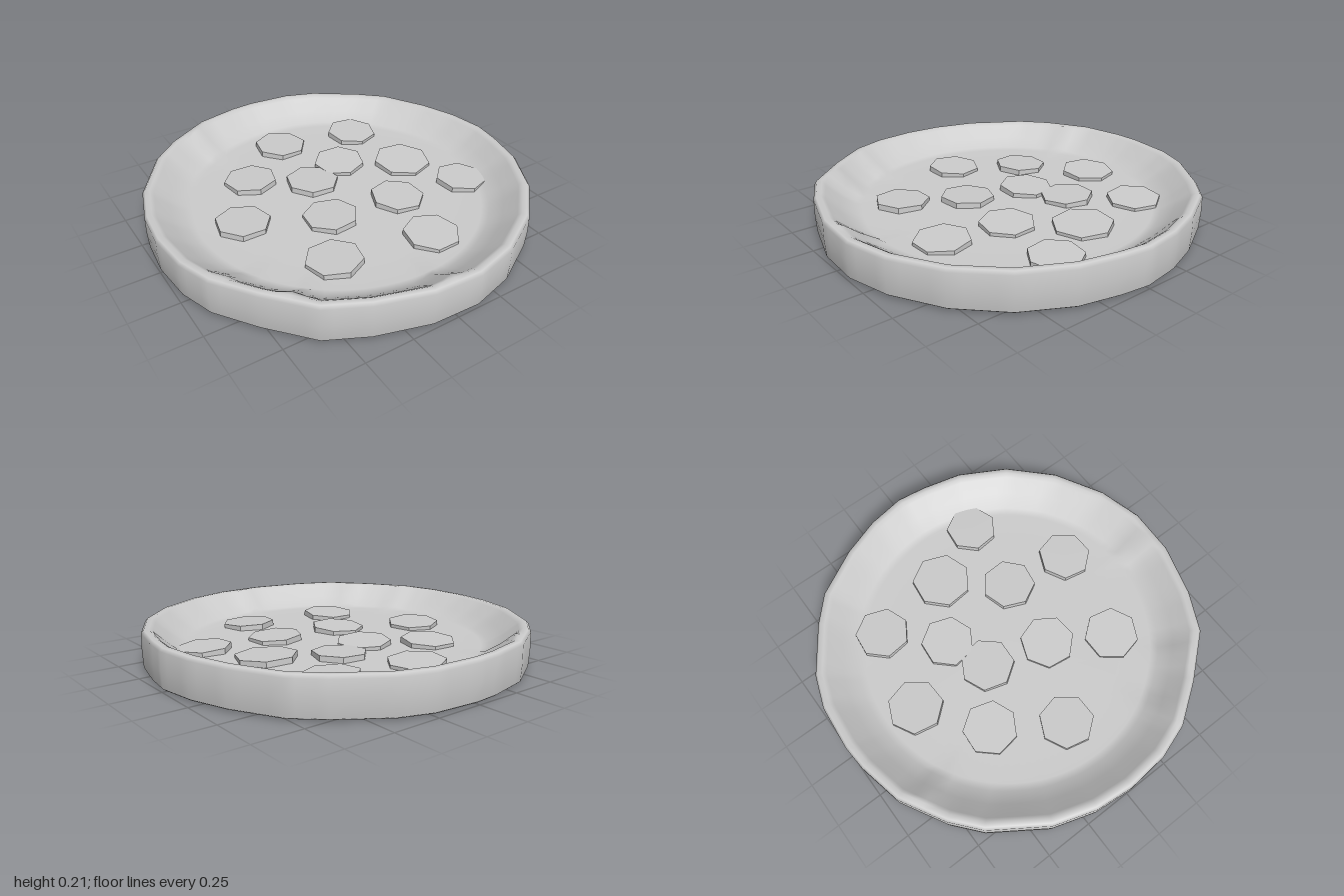
import * as THREE from 'three';

// Uneven hand-shaped outline of the crust, as x, z pairs
const OUTLINE = [
  [1, 0], [0.97, -0.2], [0.9, -0.4], [0.77, -0.64], [0.64, -0.76], [0.41, -0.92], [0.24, -0.98],
  [0, -1], [-0.13, -0.99], [-0.36, -0.94], [-0.59, -0.81], [-0.73, -0.69], [-0.91, -0.42],
  [-0.98, -0.2], [-1, 0], [-0.98, 0.22], [-0.92, 0.4], [-0.78, 0.6], [-0.6, 0.81], [-0.4, 0.91],
  [-0.13, 0.99], [0.12, 1], [0.35, 0.94], [0.6, 0.8], [0.8, 0.6], [0.93, 0.36], [0.98, 0.15],
];

// Cross-section from the underside centre, over the rim, to the floor centre:
// radius, height, how far the ring follows the outline (0 = true circle)
const PROFILE = [
  [0, 0, 0], [0.8, 0, 1], [0.95, 0.002, 1], [0.985, 0.007, 1], [0.995, 0.015, 1], [1, 0.1, 1],
  [0.998, 0.188, 1], [0.985, 0.203, 1], [0.96, 0.205, 1], [0.94, 0.192, 0.9], [0.87, 0.135, 0.6],
  [0.8, 0.091, 0.3], [0.76, 0.085, 0.1], [0.6, 0.084, 0], [0, 0.084, 0],
];

// Pinched folds on the inner slope, as angles from +x towards +z
const FOLDS = [2.7, 2.33, -2.05, 1.58];

// Toppings: x, z, radius, angle of one corner in degrees
const SLICES = [
  [-0.01, -0.6, 0.145, -92], [0.43, -0.51, 0.142, 96], [-0.33, -0.36, 0.142, 94],
  [0.18, -0.26, 0.14, 95], [-0.05, -0.17, 0.143, 68], [-0.54, -0.03, 0.142, -90],
  [0.49, -0.08, 0.157, 97], [-0.14, 0.16, 0.143, -95], [0.25, 0.2, 0.142, -80],
  [0.65, 0.24, 0.137, 97], [-0.31, 0.46, 0.143, 90], [0.2, 0.55, 0.142, -92],
];

function crustGeometry() {
  const steps = 4;
  const rim = [];
  OUTLINE.forEach(([x, z], i) => {
    const [nx, nz] = OUTLINE[(i + 1) % OUTLINE.length];
    for (let s = 0; s < steps; s++) {
      const t = s / steps;
      rim.push([x + (nx - x) * t, z + (nz - z) * t]);
    }
  });

  const n = rim.length;
  const last = PROFILE.length - 2;
  const positions = [];
  const index = [];
  PROFILE.forEach(([radius, height, follow], ring) => {
    rim.forEach(([x, z]) => {
      const angle = Math.atan2(z, x);
      const r = radius * (1 + (Math.hypot(x, z) - 1) * follow);
      const wave = height > 0.15 ? 0.004 * Math.sin(3 * angle + 1) : 0;
      let fold = 0;
      if (ring >= 9 && ring <= 11) {
        for (const f of FOLDS) fold += 0.018 * Math.exp(-(((angle - f) / 0.05) ** 2));
      }
      positions.push(r * Math.cos(angle), height + wave + fold, r * Math.sin(angle));
    });
  });
  for (let ring = 0; ring <= last; ring++) {
    for (let i = 0; i < n; i++) {
      const j = (i + 1) % n;
      const a = ring * n + i, b = ring * n + j, c = a + n, d = b + n;
      // Centre rings collapse to a point, so they need one triangle per step
      if (ring < last) index.push(a, d, c);
      if (ring > 0) index.push(a, b, d);
    }
  }
  const geometry = new THREE.BufferGeometry();
  geometry.setAttribute('position', new THREE.Float32BufferAttribute(positions, 3));
  geometry.setIndex(index);
  geometry.computeVertexNormals();
  return geometry;
}

export function createModel() {
  const model = new THREE.Group();
  model.name = 'pizza';

  // Crust with sunken floor
  const crust = new THREE.Mesh(
    crustGeometry(),
    new THREE.MeshStandardMaterial({ color: 0xcccccc }),
  );
  crust.name = 'crust';
  model.add(crust);

  // Thin seven-sided topping slices, each lying slightly askew on the floor
  const toppings = new THREE.Group();
  toppings.name = 'toppings';
  const material = new THREE.MeshStandardMaterial({ color: 0xcccccc, flatShading: true });
  const sliceGeometry = new THREE.CylinderGeometry(1, 1, 0.03, 7);
  SLICES.forEach(([x, z, radius, degrees], i) => {
    const slice = new THREE.Mesh(sliceGeometry, material);
    slice.name = `toppingSlice${i + 1}`;
    slice.position.set(x, 0.093, z);
    slice.scale.set(radius, 1, radius);
    // The first cylinder corner points to +z
    slice.rotation.set(
      0.05 * Math.sin(i * 2.4),
      THREE.MathUtils.degToRad(90 - degrees),
      0.05 * Math.cos(i * 2.4),
    );
    toppings.add(slice);
  });
  model.add(toppings);

  return model;
}
